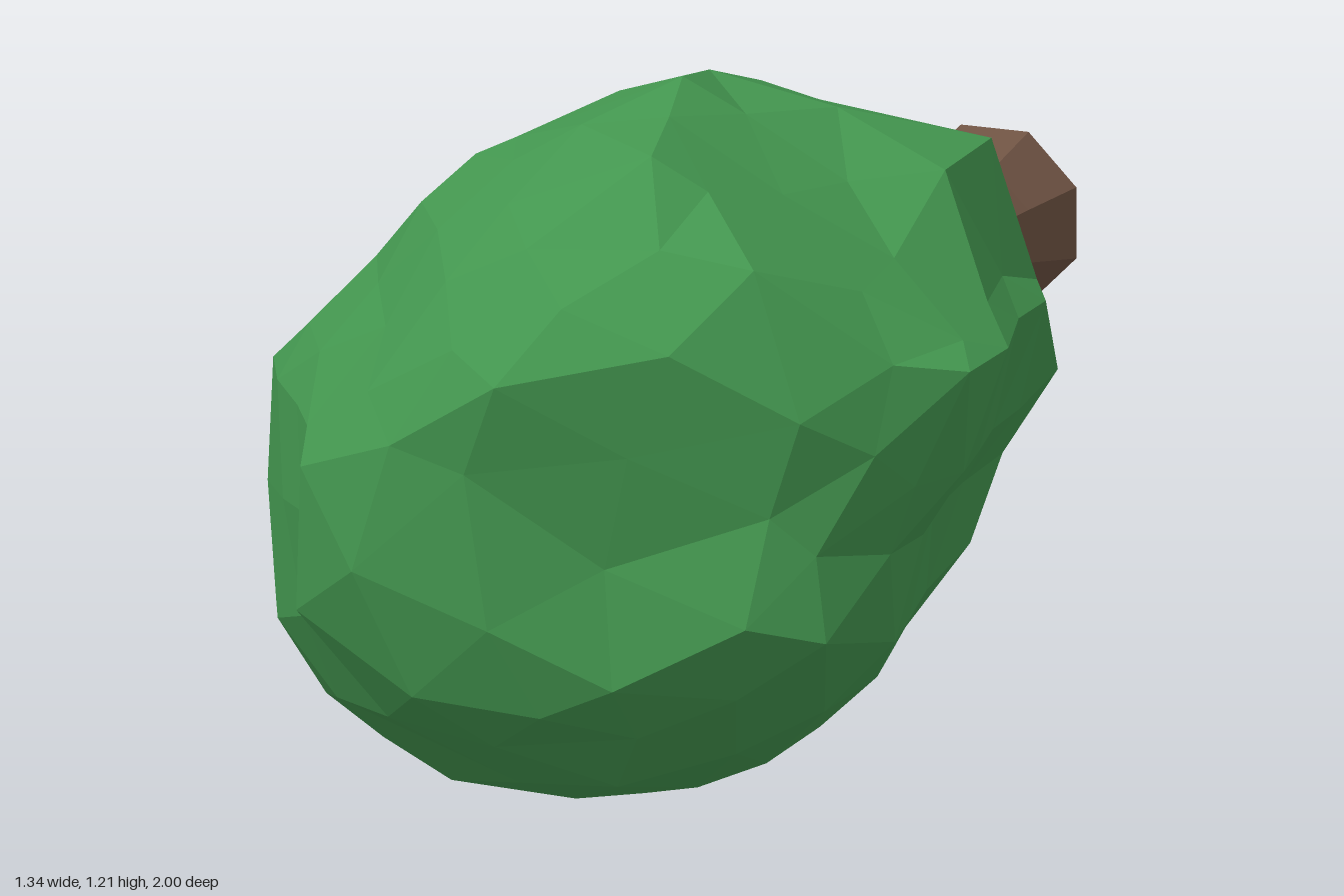
import * as THREE from 'three';
import { mergeVertices } from 'three/addons/utils/BufferGeometryUtils.js';

const leafMat = new THREE.MeshStandardMaterial({ color: 0x43964f, flatShading: true });
const barkMat = new THREE.MeshStandardMaterial({ color: 0x6f5343, flatShading: true });

// Crown outline seen along the trunk axis (x, y)
const OUTLINE = [
  [0.07, 1.215], [0.2, 1.185], [0.42, 1.145], [0.535, 1.08], [0.625, 0.89], [0.685, 0.85],
  [0.615, 0.64], [0.525, 0.51], [0.435, 0.26], [0.235, 0.1], [-0.21, 0], [-0.48, 0.05],
  [-0.575, 0.13], [-0.675, 0.26], [-0.69, 0.48], [-0.675, 0.67], [-0.49, 0.86], [-0.235, 1.085],
];
// Crown extents along the axis: z, xMin, xMax, yMin, yMax
const STATIONS = [
  [-0.18, -0.14, 0.09, 0.46, 0.74], [-0.15, -0.26, 0.22, 0.37, 0.82], [-0.03, -0.51, 0.56, 0.21, 0.97],
  [0.1, -0.59, 0.57, 0.07, 1.13], [0.27, -0.66, 0.58, 0, 1.19], [0.43, -0.69, 0.65, 0, 1.215],
  [0.58, -0.61, 0.69, 0.03, 1.21], [0.7, -0.53, 0.66, 0.08, 1.17], [0.8, -0.46, 0.58, 0.15, 1.11],
  [0.9, -0.44, 0.48, 0.23, 0.97], [0.96, -0.34, 0.26, 0.32, 0.85], [1, -0.22, 0.02, 0.56, 0.77],
];
// Hollows and bulges: centre, push, reach
const RELIEF = [
  // hollow running across the front
  { at: [-0.12, 0.6, 0.95], push: [0, 0, -0.05], reach: 0.1 },
  { at: [0.08, 0.59, 0.93], push: [0, 0, -0.09], reach: 0.13 },
  { at: [0.27, 0.61, 0.88], push: [0, 0, -0.11], reach: 0.14 },
  { at: [0.45, 0.71, 0.77], push: [0, 0, -0.06], reach: 0.12 },
  // ledge above it
  { at: [0.02, 0.82, 0.95], push: [0, 0, 0.03], reach: 0.14 },
  { at: [0.31, 0.93, 0.8], push: [0, 0, 0.06], reach: 0.14 },
  // lower right lobe below it
  { at: [0.43, 0.44, 0.74], push: [0.03, 0, 0.08], reach: 0.17 },
  // back lobe on the upper right
  { at: [0.45, 1.02, 0.13], push: [0.03, 0.06, -0.03], reach: 0.18 },
];
// Slope that cuts the upper right of the front lobe, leaving a back lobe behind it
const CUT = { nx: 0.517, ny: 0.857, offset: 1.065 };

const polar = OUTLINE.map(([x, y]) => {
  const u = x / 0.69, v = (y - 0.6075) / 0.6075;
  return [Math.atan2(v, u), Math.hypot(u, v)];
}).sort((a, b) => a[0] - b[0]);

// Linear lookup in rows sorted by their first column
function sample(rows, t) {
  let i = 0;
  while (i < rows.length - 2 && t > rows[i + 1][0]) i++;
  const a = rows[i], b = rows[i + 1];
  const k = THREE.MathUtils.clamp((t - a[0]) / (b[0] - a[0]), 0, 1);
  return a.map((value, j) => value + (b[j] - value) * k);
}

const TURN = Math.PI * 2;
const first = polar[0], last = polar[polar.length - 1];
const ring = [[last[0] - TURN, last[1]], ...polar, [first[0] + TURN, first[1]]];

// Direction and radius on the outline, pulled onto a corner when one is close
function outlineAt(angle) {
  const corner = ring.find(([a]) => Math.abs(a - angle) < 0.12);
  return corner ?? sample(ring, angle);
}

let seed = 7;
function random() {
  seed = (seed * 16807) % 2147483647;
  return seed / 2147483647;
}

// Faceted crown: a subdivided ball shaped by the outline and the extents
function crownGeometry() {
  const ball = new THREE.IcosahedronGeometry(1, 3);
  ball.deleteAttribute('normal');
  ball.deleteAttribute('uv');
  const geo = mergeVertices(ball, 1e-3);
  const pos = geo.attributes.position;
  const p = new THREE.Vector3(), centre = new THREE.Vector3(0, 0.6, 0.42);
  for (let i = 0; i < pos.count; i++) {
    p.fromBufferAttribute(pos, i);
    const z = 0.41 + 0.59 * p.z;
    const [, x0, x1, y0, y1] = sample(STATIONS, z);
    const [angle, radius] = outlineAt(Math.atan2(p.y, p.x));
    const r = Math.hypot(p.x, p.y) < 1e-3 ? 0 : radius;
    p.set(
      (x0 + x1) / 2 + ((x1 - x0) / 2) * r * Math.cos(angle),
      (y0 + y1) / 2 + ((y1 - y0) / 2) * r * Math.sin(angle),
      z,
    );
    // Sloping shoulder of the front lobe
    const excess = Math.max(0, p.x * CUT.nx + p.y * CUT.ny - CUT.offset)
      * THREE.MathUtils.smoothstep(z, 0.28, 0.46);
    p.x -= CUT.nx * excess;
    p.y -= CUT.ny * excess;
    // Hollows and bulges
    const shift = new THREE.Vector3();
    for (const { at, push, reach } of RELIEF) {
      const d = p.distanceTo(new THREE.Vector3(...at)) / reach;
      shift.addScaledVector(new THREE.Vector3(...push), Math.exp(-d * d));
    }
    p.add(shift);
    // Slight unevenness
    p.sub(centre).multiplyScalar(1.005 - 0.015 * random()).add(centre);
    pos.setXYZ(i, p.x, Math.max(p.y, 0), Math.min(p.z, 1));
  }
  const flat = geo.toNonIndexed();
  flat.computeVertexNormals();
  return flat;
}

function add(group, name, geometry, material) {
  const mesh = new THREE.Mesh(geometry, material);
  mesh.name = name;
  group.add(mesh);
  return mesh;
}

export function createModel() {
  const model = new THREE.Group();
  model.name = 'fallenTree';

  add(model, 'crown', crownGeometry(), leafMat);

  // Trunk lying along z, flared to a flat foot at the back
  const profile = [
    [0, 0], [0.155, 0], [0.115, 0.11], [0.081, 0.24], [0.058, 0.5], [0.057, 0.85], [0.045, 1.2], [0, 1.2],
  ].map(([r, h]) => new THREE.Vector2(r, h));
  const trunk = add(model, 'trunk', new THREE.LatheGeometry(profile, 8, Math.PI / 8), barkMat);
  trunk.rotation.x = Math.PI / 2;
  trunk.position.set(-0.012, 0.635, -1);

  // Thin side branch running from the trunk into the crown
  const from = new THREE.Vector3(-0.02, 0.61, -0.5), to = new THREE.Vector3(-0.27, 0.46, -0.04);
  const branch = add(model, 'branch',
    new THREE.CylinderGeometry(0.024, 0.026, from.distanceTo(to), 6), barkMat);
  branch.position.copy(from).lerp(to, 0.5);
  branch.quaternion.setFromUnitVectors(new THREE.Vector3(0, 1, 0), to.clone().sub(from).normalize());

  return model;
}
